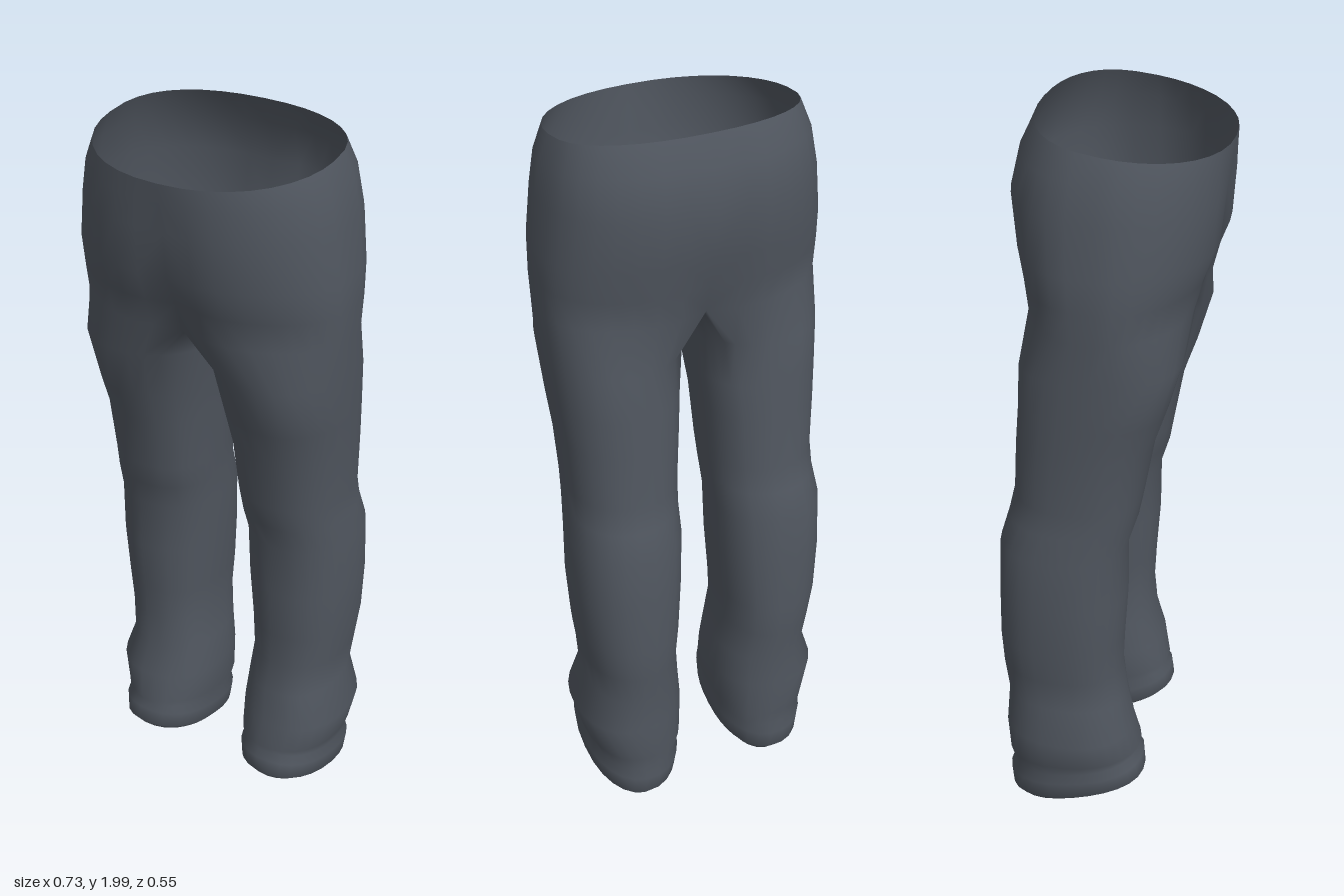
import * as THREE from 'three';
import { mergeVertices, mergeGeometries } from 'three/addons/utils/BufferGeometryUtils.js';

const OUTER = 18, INNER = 12, RING = OUTER + INNER;
const { lerp, degToRad } = THREE.MathUtils;
const spow = (v, p) => Math.sign(v) * Math.abs(v) ** p;

// Hip rows: height at front, height at back, half width, front z, back z, centre seam dip
const HIPS = [
  [1.94, 2.0, 0.305, 0.28, -0.18, 0],
  [1.89, 1.93, 0.33, 0.28, -0.215, 0.005],
  [1.82, 1.83, 0.345, 0.28, -0.24, 0.015],
  [1.7, 1.7, 0.362, 0.272, -0.225, 0.02],
  [1.62, 1.62, 0.365, 0.245, -0.21, 0.03],
  [1.54, 1.54, 0.363, 0.225, -0.2, 0.035],
];

// Leg rows: height at front, height at back, inner x, outer x, front z, back z
const LEG = [
  [1.44, 1.42, 0.015, 0.36, 0.205, -0.197],
  [1.3, 1.3, 0.03, 0.353, 0.165, -0.205],
  [1.2, 1.2, 0.04, 0.346, 0.133, -0.215],
  [1.05, 1.05, 0.05, 0.34, 0.11, -0.222],
  [0.98, 0.98, 0.055, 0.342, 0.098, -0.237],
  [0.9, 0.9, 0.057, 0.352, 0.072, -0.262],
  [0.75, 0.75, 0.062, 0.355, 0.07, -0.27],
  [0.6, 0.6, 0.073, 0.347, 0.062, -0.275],
  [0.5, 0.5, 0.08, 0.335, 0.06, -0.27],
  [0.4, 0.4, 0.07, 0.326, 0.07, -0.26],
  [0.3, 0.3, 0.06, 0.36, 0.09, -0.265],
  [0.225, 0.18, 0.065, 0.337, 0.108, -0.267],
  // cuff
  [0.205, 0.13, 0.074, 0.326, 0.104, -0.256],
  [0.185, 0.1, 0.068, 0.336, 0.12, -0.266],
  [0.14, 0.04, 0.075, 0.33, 0.125, -0.26],
  [0.115, 0.005, 0.1, 0.3, 0.105, -0.235],
];

// Half ring round the hips, closed by the crotch curve along x = 0
function hipRing([yF, yB, w, f, b, dip]) {
  const pts = [], zc = 0.03;
  for (let i = 0; i <= OUTER; i++) {
    const a = Math.PI * i / OUTER, c = Math.cos(a);
    const x = i === 0 || i === OUTER ? 0 : w * Math.sin(a) ** 0.9;
    let z = c > 0 ? zc + (f - zc) * c : zc - (zc - b) * (-c) ** 0.75;
    z -= Math.sign(c) * dip * Math.exp(-((x / 0.07) ** 2));
    pts.push([x, lerp(yB, yF, (z - b) / (f - b)), z]);
  }
  const z0 = pts[0][2], z1 = pts[OUTER][2];
  for (let j = 1; j < INNER; j++) {
    const t = j / INNER;
    pts.push([0, yF - 0.03 * Math.sin(Math.PI * t), lerp(z1, z0, t)]);
  }
  return pts;
}

// Full ring round one leg, starting at the inner front
function legRing([yF, yB, xi, xo, f, b], row) {
  const pts = [], turn = degToRad(35);
  for (let i = 0; i < RING; i++) {
    const a = i <= OUTER
      ? lerp(-turn, Math.PI + turn, i / OUTER)
      : lerp(Math.PI + turn, 2 * Math.PI - turn, (i - OUTER) / INNER);
    const fold = 1 + 0.012 * Math.sin(3 * a + row * 1.3); // soft cloth folds
    const x = (xi + xo) / 2 + (xo - xi) / 2 * spow(Math.sin(a), 0.88);
    const z = (f + b) / 2 + (f - b) / 2 * spow(Math.cos(a), 0.88) * fold;
    pts.push([x, lerp(yB, yF, (z - b) / (f - b)), z]);
  }
  return pts;
}

// Indexed surface, optionally mirrored to the other side
function surface(points, faces, side) {
  const g = new THREE.BufferGeometry();
  g.setAttribute('position', new THREE.Float32BufferAttribute(
    points.flatMap(([x, y, z]) => [x * side, y, z]), 3));
  g.setIndex(faces.flatMap(([a, b, c]) => (side > 0 ? [a, b, c] : [a, c, b])));
  return g;
}

function halfTrousers(side) {
  const rings = [...HIPS.map(hipRing), ...LEG.map(legRing)];
  const faces = [];
  for (let r = 0; r < rings.length - 1; r++) {
    const count = r < HIPS.length - 1 ? OUTER : RING; // hips are open at the centre
    for (let i = 0; i < count; i++) {
      const n = (i + 1) % RING;
      const a = r * RING + i, b = a + RING, c = (r + 1) * RING + n, d = r * RING + n;
      faces.push([a, b, c], [a, c, d]);
    }
  }
  return surface(rings.flat(), faces, side);
}

// Slightly recessed cloth closing the slanted bottom of a leg
function hemClosure(side) {
  const rim = legRing(LEG[LEG.length - 1], LEG.length - 1);
  const inset = legRing([0.125, 0.03, 0.113, 0.288, 0.088, -0.215], LEG.length - 1);
  const points = [...rim, ...inset, [0.2, 0.08, -0.06]], faces = [];
  for (let i = 0; i < RING; i++) {
    const n = (i + 1) % RING;
    faces.push([i, RING + i, RING + n], [i, RING + n, n], [RING + i, 2 * RING, RING + n]);
  }
  return surface(points, faces, side);
}

export function createModel() {
  const group = new THREE.Group();
  group.name = 'trousers';
  const cloth = new THREE.MeshStandardMaterial({ color: 0x50565f, side: THREE.DoubleSide });
  cloth.name = 'slate grey cloth';

  const add = (name, geometry) => {
    geometry.computeVertexNormals();
    const mesh = new THREE.Mesh(geometry, cloth);
    mesh.name = name;
    group.add(mesh);
  };

  // both halves share the centre seam so the cloth shades smoothly
  add('hipsAndLegs', mergeVertices(mergeGeometries([halfTrousers(1), halfTrousers(-1)])));
  add('leftHemClosure', hemClosure(1));
  add('rightHemClosure', hemClosure(-1));
  return group;
}
